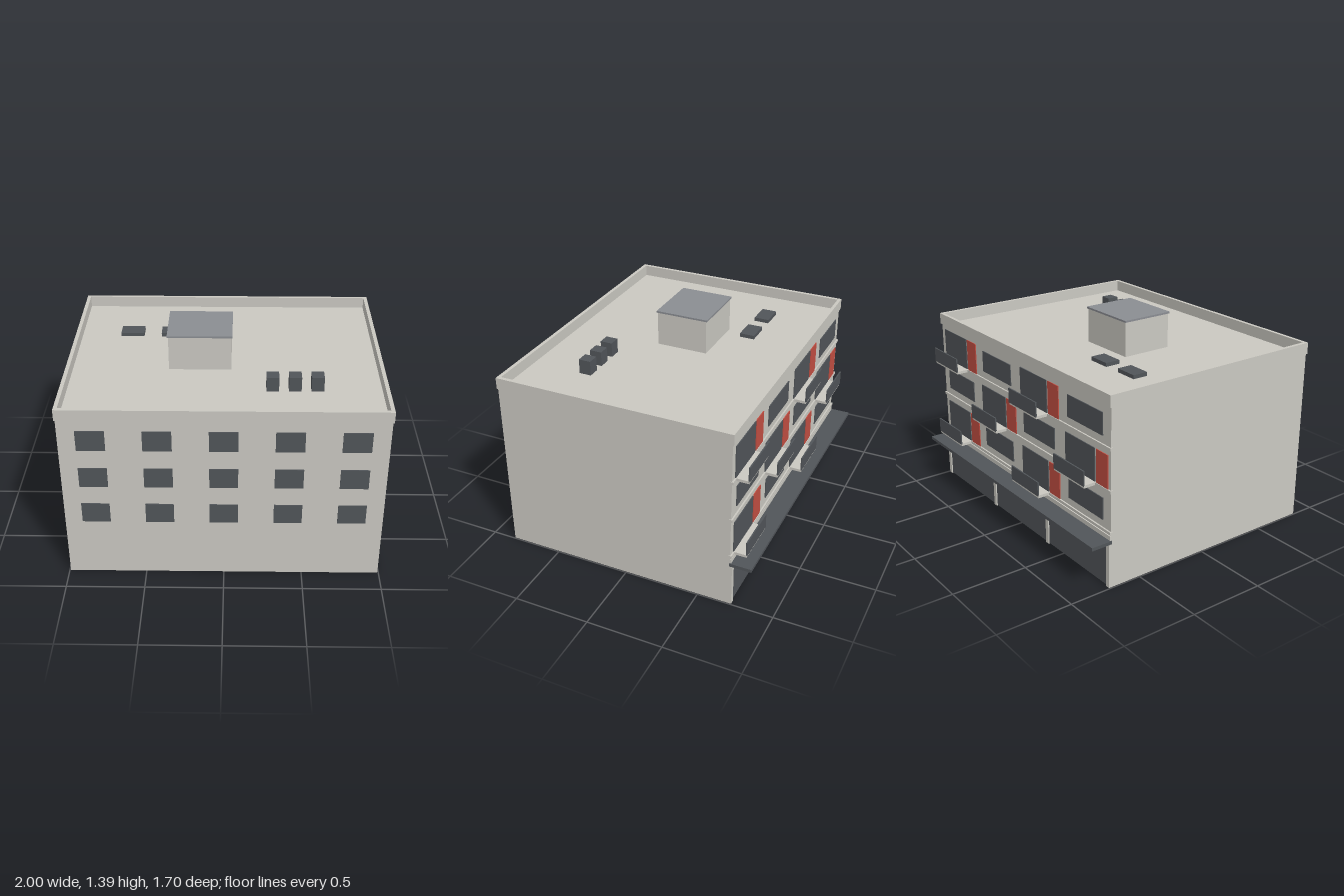
import * as THREE from 'three';

const mat = (name, color) => {
  const m = new THREE.MeshStandardMaterial({ color });
  m.name = name;
  return m;
};

export function createModel() {
  const wall = mat('warm grey wall', 0xcac8c1);
  const dark = mat('dark grey glass and metal', 0x515559);
  const red = mat('red door', 0xc24e42);
  const slate = mat('slate roof cap', 0x8a8d92);
  const model = new THREE.Group();
  model.name = 'apartmentBlock';

  // Box given by its minimum and maximum on each axis
  const box = (name, m, x0, x1, y0, y1, z0, z1, parent = model) => {
    const mesh = new THREE.Mesh(new THREE.BoxGeometry(x1 - x0, y1 - y0, z1 - z0), m);
    mesh.position.set((x0 + x1) / 2, (y0 + y1) / 2, (z0 + z1) / 2);
    mesh.name = name;
    parent.add(mesh);
    return mesh;
  };
  const group = (name) => {
    const g = new THREE.Group();
    g.name = name;
    model.add(g);
    return g;
  };

  const FRONT = 0.843, BACK = -0.71, SIDE = 0.993, ROOF = 1.15;
  box('mainBody', wall, -SIDE, SIDE, 0, ROOF, BACK, FRONT);

  // Parapet: a rectangular ring around the flat roof
  const rect = (Type, x, z0, z1) => {
    const p = new Type();
    p.moveTo(-x, -z1).lineTo(x, -z1).lineTo(x, -z0).lineTo(-x, -z0).closePath();
    return p;
  };
  const ring = rect(THREE.Shape, 1, -0.72, 0.848);
  ring.holes.push(rect(THREE.Path, 0.976, -0.698, 0.824));
  const ringGeo = new THREE.ExtrudeGeometry(ring, { depth: 0.075, bevelEnabled: false });
  ringGeo.rotateX(-Math.PI / 2);
  const parapet = new THREE.Mesh(ringGeo, wall);
  parapet.position.y = ROOF;
  parapet.name = 'parapet';
  model.add(parapet);

  // Rooftop stair house, vents and skylights
  box('stairHouse', wall, -0.36, 0.04, ROOF, 1.378, -0.125, 0.22);
  box('stairHouseCap', slate, -0.368, 0.046, 1.378, 1.39, -0.133, 0.226);
  const roofKit = group('roofEquipment');
  for (const x of [0.297, 0.436, 0.575])
    box('ventUnit', dark, x - 0.039, x + 0.039, ROOF, 1.246, 0.409, 0.489, roofKit);
  for (const x of [-0.634, -0.36])
    box('skylight', dark, x - 0.078, x + 0.078, ROOF, 1.175, -0.334, -0.233, roofKit);

  // Front windows, five across on three floors
  const frontWindows = group('frontWindows');
  for (let f = 0; f < 3; f++)
    for (let i = -2; i <= 2; i++)
      box('frontWindow', dark, i * 0.398 - 0.088, i * 0.398 + 0.088,
        0.407 + f * 0.267, 0.545 + f * 0.267, FRONT - 0.002, FRONT + 0.006, frontWindows);

  // Back floors: ledges, and balcony bays alternating with plain windows
  const backFloors = group('backFloors');
  for (let f = 0; f < 3; f++) {
    const y = 0.372 + f * 0.267;
    box('floorLedge', wall, -0.998, 0.998, y - 0.018, y, -0.72, BACK + 0.01, backFloors);
    for (let b = 0; b < 4; b++) {
      const x = 0.638 - b * 0.496;
      if ((f + b) % 2 === 0) {
        box('balconySlab', wall, x, x + 0.312, y - 0.018, y, -0.798, BACK, backFloors);
        box('balconyRailing', dark, x, x + 0.312, y - 0.005, y + 0.092, -0.802, -0.793, backFloors);
        box('balconyWindow', dark, x + 0.01, x + 0.31, y, y + 0.213, BACK - 0.006, BACK + 0.002, backFloors);
        box('balconyDoor', red, x - 0.118, x - 0.004, y, y + 0.213, BACK - 0.006, BACK + 0.002, backFloors);
      } else {
        box('backWindow', dark, x - 0.068, x + 0.282, y + 0.05, y + 0.192, BACK - 0.006, BACK + 0.002, backFloors);
      }
    }
  }

  // Ground floor shop front with columns under a long canopy
  const shop = group('groundFloor');
  box('canopy', dark, -1, 1, 0.295, 0.316, -0.85, BACK + 0.002, shop);
  box('lintel', wall, -SIDE, SIDE, 0.316, 0.345, -0.718, BACK + 0.002, shop);
  for (let i = 0; i < 3; i++) {
    const x = -0.98 + i * 0.6533;
    box('shopGlass', dark, x, x + 0.6533, 0.003, 0.295, BACK - 0.006, BACK + 0.002, shop);
  }
  for (const x of [-0.978, -0.327, 0.327, 0.978])
    box('column', wall, x - 0.015, x + 0.015, 0, 0.295, -0.724, BACK + 0.002, shop);

  return model;
}
